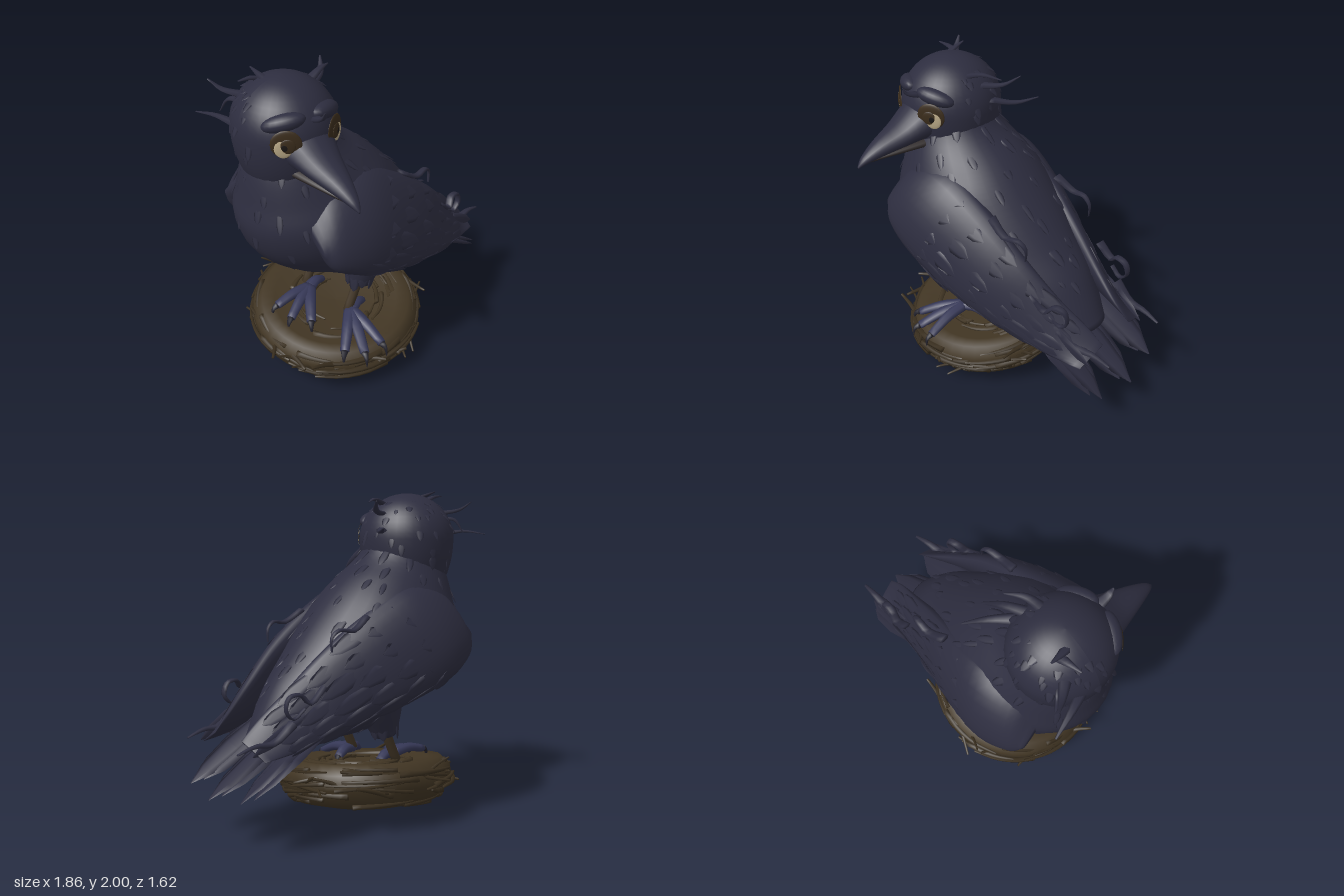
import * as THREE from 'three';
import { mergeGeometries } from 'three/addons/utils/BufferGeometryUtils.js';

const V = (x, y, z) => new THREE.Vector3(x, y, z);
const mat = (name, color) => {
  const m = new THREE.MeshStandardMaterial({ color });
  m.name = name;
  return m;
};

let seed = 7;
const rnd = (a = 0, b = 1) => {
  seed = (seed * 16807) % 2147483647;
  return a + (b - a) * (seed / 2147483647);
};

// Closed skin over elliptical rings [centre, axis u, axis v]
function skin(rings, n) {
  let dir = 0;
  for (let i = 1; i < rings.length; i++) {
    const [c, u, v] = rings[i - 1];
    dir += u.clone().cross(v).dot(rings[i][0].clone().sub(c));
  }
  const s = dir < 0 ? -1 : 1, pos = [], idx = [];
  rings.forEach(([c, u, v]) => {
    for (let j = 0; j < n; j++) {
      const a = (j / n) * Math.PI * 2;
      const p = c.clone().addScaledVector(u, Math.cos(a)).addScaledVector(v, s * Math.sin(a));
      pos.push(p.x, p.y, p.z);
    }
  });
  const last = rings.length - 1, cap = rings.length * n;
  pos.push(...rings[0][0].toArray(), ...rings[last][0].toArray());
  for (let j = 0; j < n; j++) {
    const k = (j + 1) % n;
    for (let i = 0; i < last; i++) {
      const a = i * n + j, b = i * n + k;
      idx.push(a, b, a + n, b, b + n, a + n);
    }
    idx.push(cap, k, j, cap + 1, last * n + j, last * n + k);
  }
  const g = new THREE.BufferGeometry();
  g.setAttribute('position', new THREE.Float32BufferAttribute(pos, 3));
  g.setIndex(idx);
  g.computeVertexNormals();
  return g;
}

// Smooth surface through a few stations, which can be sampled to lay feathers on it
function surface(stations) {
  const cur = [0, 1, 2].map(k => new THREE.CatmullRomCurve3(stations.map(e => e[k]), false, 'catmullrom'));
  const ring = t => cur.map(c => c.getPoint(Math.min(Math.max(t, 0), 1)));
  const at = (t, a) => {
    const [c, u, v] = ring(t);
    return c.addScaledVector(u, Math.cos(a)).addScaledVector(v, Math.sin(a));
  };
  const geometry = (steps, n) => skin(Array.from({ length: steps + 1 }, (_, i) => ring(i / steps)), n);
  return { ring, at, geometry };
}

// Flat pointed feather from p to q
function feather(p, q, side, normal, w, thick = 0.005) {
  const u = side.clone().normalize().multiplyScalar(w);
  const v = normal.clone().normalize().multiplyScalar(thick);
  return skin([[0, 0.4], [0.25, 0.85], [0.6, 1], [0.85, 0.7], [1, 0.05]].map(([t, f]) =>
    [p.clone().lerp(q, t), u.clone().multiplyScalar(f), v.clone().multiplyScalar(f)]), 6);
}

// Small feather lying on a surface, its root sunk in and its tip slightly lifted
function layFeather(s, t, a, dt, w, lift) {
  const p = s.at(t, a), n = p.clone().sub(s.ring(t)[0]).normalize();
  const q = s.at(t + dt, a).addScaledVector(n, lift);
  return feather(p.addScaledVector(n, -0.012), q, s.at(t, a + 0.1).sub(s.at(t, a - 0.1)), n, w);
}

// Tapered strand along a few points
function strand(pts, r, end = 0.1, flat = 1, steps = 8, n = 6) {
  const c = new THREE.CatmullRomCurve3(pts.map(p => V(...p)));
  const side = c.getPoint(1).sub(c.getPoint(0)).cross(V(0, 1, 0)).normalize();
  return skin(Array.from({ length: steps + 1 }, (_, i) => {
    const t = i / steps, k = r * (1 + (end - 1) * t);
    return [c.getPoint(t), side.clone().multiplyScalar(k),
      c.getTangent(t).cross(side).normalize().multiplyScalar(k * flat)];
  }), n);
}

export function createModel() {
  const plumage = mat('plumage', 0x2d2d3f), skinBlue = mat('footBlue', 0x363857);
  const legBrown = mat('legBrown', 0x403425), claw = mat('clawDark', 0x25242e), mouth = mat('lowerBeakBrown', 0x2d2727);
  const cream = mat('eyeCream', 0xb8a785), socket = mat('eyeBrown', 0x3a2c1b), black = mat('pupilBlack', 0x1a1614);
  const nestBrown = mat('nestBrown', 0x413523), twigBrown = mat('twigBrown', 0x3a2f1f);

  const root = new THREE.Group(), bird = new THREE.Group();
  root.name = 'birdOnNest';
  bird.name = 'bird';
  bird.rotation.y = 0.55;
  bird.position.set(-0.047, 0, -0.077);
  root.add(bird);
  const add = (parent, name, g, m) => {
    const mesh = new THREE.Mesh(Array.isArray(g) ? mergeGeometries(g) : g, m);
    mesh.name = name;
    parent.add(mesh);
    return mesh;
  };

  // Body: front point, back point, half width; the tail points along local +x
  const body = surface([
    [-0.64, 1.7, -0.28, 1.76, 0.19], [-0.735, 1.5, -0.17, 1.6, 0.275], [-0.78, 1.3, 0.0, 1.47, 0.36],
    [-0.8, 1.12, 0.13, 1.35, 0.43], [-0.71, 0.91, 0.28, 1.19, 0.44], [-0.46, 0.71, 0.42, 1.03, 0.39],
    [-0.12, 0.55, 0.55, 0.88, 0.32], [0.18, 0.52, 0.64, 0.73, 0.25], [0.46, 0.5, 0.72, 0.57, 0.17],
  ].map(([fx, fy, bx, by, w]) => [V((fx + bx) / 2, (fy + by) / 2, 0), V((fx - bx) / 2, (fy - by) / 2, 0), V(0, 0, w)]));
  add(bird, 'body', body.geometry(40, 32), plumage);

  // Sparse ragged feathers over neck, breast and back
  const ruff = [];
  for (let r = 0; r < 9; r++) {
    for (let j = 0; j < 11; j++) {
      const a = ((j + (r % 2) / 2) / 11) * Math.PI * 2 + rnd(-0.2, 0.2);
      ruff.push(layFeather(body, 0.07 + r * 0.085 + rnd(-0.03, 0.03), a, 0.09, rnd(0.018, 0.032), rnd(0, 0.02)));
    }
  }
  add(bird, 'bodyFeathers', ruff, plumage);

  // Tail and wing tips: three broad pointed lobes
  const tail = [];
  for (let k = -1; k <= 1; k++) {
    for (let j = -1; j <= 1; j++) {
      const w = Math.abs(k), e = Math.abs(j);
      tail.push(feather(V(0.26, 0.72 + 0.03 * w - 0.015 * e, k * 0.22 + j * 0.05),
        V(1.0 - 0.04 * w - 0.06 * e, 0.29 + 0.03 * w + 0.02 * e, k * 0.25 + j * 0.04 + 0.01),
        V(0, 0.25 * k, 1), V(0.55, 0.84, -0.2 * k), 0.09, 0.018));
    }
  }
  add(bird, 'tail', tail, plumage);

  for (const s of [1, -1]) {
    const side = s > 0 ? 'left' : 'right';
    // Folded wing: top point, bottom point, distance from the middle, half thickness, sideways sway
    const wing = surface([
      [-0.61, 1.27, -0.63, 1.11, 0.39, 0.04, 0], [-0.46, 1.4, -0.57, 0.98, 0.4, 0.12, 0], [-0.2, 1.42, -0.39, 0.87, 0.42, 0.15, 0],
      [0.08, 1.28, -0.14, 0.77, 0.41, 0.13, 0.02], [0.35, 1.08, 0.12, 0.69, 0.375, 0.1, 0.045], [0.58, 0.87, 0.4, 0.61, 0.325, 0.07, 0.045],
      [0.74, 0.73, 0.64, 0.55, 0.28, 0.045, 0.035], [0.86, 0.62, 0.83, 0.53, 0.26, 0.012, 0.02],
    ].map(([tx, ty, bx, by, z, th, sway]) => [V((tx + bx) / 2, (ty + by) / 2, s * (z - 0.04) + sway),
      V((tx - bx) / 2, (ty - by) / 2, -s * 0.09), V(0, 0, s * th)]));
    add(bird, side + 'Wing', wing.geometry(32, 24), plumage);

    const coverts = [];
    for (let r = 0; r < 6; r++) {
      for (let j = 0; j < 5; j++) {
        coverts.push(layFeather(wing, 0.22 + r * 0.1, 0.5 + j * 0.52 + (r % 2) * 0.25, 0.16, 0.06 - r * 0.004, rnd(0.002, 0.012)));
      }
    }
    add(bird, side + 'WingCoverts', coverts, plumage);

    // Long flight feathers along the lower edge
    const flight = [];
    for (let i = 0; i < 6; i++) {
      const f = i / 5;
      const p = V(-0.18 + f * 0.55, 0.88 - f * 0.1, s * (0.41 - f * 0.1) + 0.02);
      const q = V(0.25 + f * 0.62, 0.65 - f * 0.11 + (i % 2) * 0.015, s * (0.38 - f * 0.12) + 0.03);
      flight.push(feather(p, q, q.clone().sub(p).cross(V(0, 0, 1)), V(0, 0, 1), 0.06, 0.014));
    }
    add(bird, side + 'FlightFeathers', flight, plumage);

    // Loose curled feathers
    add(bird, side + 'WingCurls', [
      strand([[0.46, 0.9, s * 0.33], [0.56, 0.82, s * 0.33], [0.61, 0.87, s * 0.31], [0.68, 0.86, s * 0.3], [0.7, 0.79, s * 0.3], [0.65, 0.74, s * 0.3], [0.58, 0.79, s * 0.31]], 0.032, 0.5, 0.4, 18),
      strand([[0.12, 1.26, s * 0.3], [0.24, 1.19, s * 0.32], [0.33, 1.2, s * 0.31], [0.38, 1.16, s * 0.3], [0.38, 1.08, s * 0.3]], 0.034, 0.25, 0.45, 12),
      strand([[0.64, 0.71, s * 0.28], [0.76, 0.62, s * 0.27], [0.87, 0.62, s * 0.26], [0.98, 0.59, s * 0.25]], 0.045, 0.2, 0.5),
    ], plumage);

    // Feathered thigh and shank
    const hem = Array.from({ length: 9 }, (_, i) => {
      const a = (i / 9) * Math.PI * 2, d = V(Math.cos(a), 0, Math.sin(a));
      return feather(V(-0.1, 0.66, s * 0.2).addScaledVector(d, 0.1), V(-0.13, 0.49 + (i % 2) * 0.03, s * 0.2).addScaledVector(d, 0.08),
        V(-d.z, 0, d.x), d, 0.035);
    });
    add(bird, side + 'Thigh', [strand([[-0.06, 0.78, s * 0.2], [-0.1, 0.64, s * 0.2], [-0.13, 0.52, s * 0.2]], 0.17, 0.45, 1, 8, 14), ...hem], plumage);
    add(bird, side + 'Shank', strand([[-0.12, 0.58, s * 0.2], [-0.16, 0.48, s * 0.2], [-0.23, 0.34, s * 0.2]], 0.032, 0.9, 1, 6, 8), legBrown);
  }

  // Feet: ankle followed by toe ends
  const foot = (name, [ax, ay, az], ends) => {
    const toes = [], claws = [];
    ends.forEach(([x, y, z]) => {
      const dx = x - ax, dz = z - az;
      toes.push(strand([[ax, ay, az], [ax + dx * 0.5, (ay + y) / 2 + 0.02, az + dz * 0.5], [x, y, z]], 0.045, 0.65, 0.8, 8, 8));
      claws.push(strand([[x, y, z], [x + dx * 0.12, y - 0.015, z + dz * 0.12], [x + dx * 0.16, y - 0.075, z + dz * 0.16]], 0.024, 0.1, 1, 5));
    });
    add(root, name + 'Toes', toes, skinBlue);
    add(root, name + 'Claws', claws, claw);
  };
  foot('leftFoot', [-0.12, 0.34, 0.22], [[-0.22, 0.26, 0.5], [-0.1, 0.25, 0.53], [0.02, 0.26, 0.48], [-0.02, 0.31, 0.1]]);
  foot('rightFoot', [-0.34, 0.36, -0.04], [[-0.57, 0.35, 0.08], [-0.5, 0.32, 0.19], [-0.38, 0.31, 0.24], [-0.24, 0.34, -0.14]]);

  // Head, turned to the bird's left; its lower half is drawn out into the neck
  const head = new THREE.Group();
  head.name = 'head';
  head.position.set(-0.47, 1.7, 0.17);
  head.rotation.y = 0.41;
  root.add(head);
  const skullShape = new THREE.SphereGeometry(1, 36, 26).scale(0.295, 0.285, 0.305), sp = skullShape.attributes.position;
  for (let i = 0; i < sp.count; i++) if (sp.getY(i) < 0) sp.setY(i, sp.getY(i) * 1.6);
  skullShape.computeVertexNormals();
  add(head, 'skull', skullShape, plumage);
  const beakPart = rows => surface(rows.map(([z, top, low, w]) =>
    [V(0, (top + low) / 2, z), V(0, (top - low) / 2, 0), V(w, 0, 0)])).geometry(16, 16);
  add(head, 'upperBeak', beakPart([[0.12, 0.14, -0.18, 0.19], [0.27, 0.06, -0.165, 0.15], [0.4, -0.03, -0.175, 0.11],
    [0.55, -0.1, -0.195, 0.065], [0.65, -0.165, -0.215, 0.03], [0.69, -0.215, -0.23, 0.005]]), plumage);
  add(head, 'lowerBeak', beakPart([[0.12, -0.12, -0.22, 0.15], [0.3, -0.14, -0.21, 0.11], [0.45, -0.16, -0.21, 0.07], [0.62, -0.19, -0.215, 0.015]]), mouth);

  for (const s of [1, -1]) {
    // Eye of stacked thin discs facing outward, the iris set towards the beak
    const eye = new THREE.Group();
    eye.name = s > 0 ? 'leftEye' : 'rightEye';
    eye.position.set(s * 0.162, 0.012, 0.257);
    eye.rotation.y = s * 0.56;
    head.add(eye);
    const disc = (name, r, x, y, z, m, sx = 1) => {
      const g = new THREE.SphereGeometry(r, 20, 10, 0, Math.PI * 2, 0, Math.PI / 2).rotateX(Math.PI / 2).scale(sx, 1, 0.18);
      add(eye, name, g, m).position.set(x, y, z);
    };
    disc('eyeSocket', 0.08, -s * 0.012, 0.015, -0.002, socket, 1.05);
    disc('eyeball', 0.055, s * 0.004, -0.006, 0.006, cream, 0.88);
    disc('iris', 0.042, -s * 0.02, 0.008, 0.0115, socket);
    disc('pupil', 0.022, -s * 0.008, 0.004, 0.0155, black);
    const brow = add(head, 'brow', new THREE.SphereGeometry(1, 20, 12).scale(0.12, 0.05, 0.06), plumage);
    brow.position.set(s * 0.128, 0.122, 0.206);
    brow.rotation.set(-0.2, s * 0.55, -s * 0.1);
  }

  // Crown feathers and loose tufts
  const skull = surface([0.3, 0.75, 1.2, 1.65, 2.1].map(a => [V(0, Math.cos(a) * (a < 1.57 ? 0.285 : 0.45), 0),
    V(0, 0, -0.305 * Math.sin(a)), V(0.295 * Math.sin(a), 0, 0)]));
  const crown = [];
  for (let r = 0; r < 6; r++) {
    for (let j = -3; j <= 3; j++) {
      crown.push(layFeather(skull, 0.08 + r * 0.14 + rnd(-0.06, 0.06), j * 0.55 + rnd(-0.25, 0.25), 0.18, rnd(0.015, 0.028), rnd(0.005, 0.02)));
    }
  }
  add(head, 'crownFeathers', crown, plumage);
  add(root, 'headTufts', [
    [[-0.7, 1.72, 0.22], [-0.82, 1.75, 0.11], [-0.93, 1.73, -0.01]],
    [[-0.66, 1.82, 0.12], [-0.75, 1.82, 0.06], [-0.8, 1.74, 0.03]],
    [[-0.66, 1.86, 0.12], [-0.78, 1.88, 0.06], [-0.85, 1.93, 0.02]],
    [[-0.55, 1.92, 0.08], [-0.63, 1.96, 0.13], [-0.7, 1.97, 0.18]],
    [[-0.52, 1.94, 0.2], [-0.58, 1.97, 0.12], [-0.62, 1.99, 0.05]],
    [[-0.33, 1.9, 0.12], [-0.24, 1.94, 0.04], [-0.18, 1.92, -0.06]],
    [[-0.3, 1.85, 0.05], [-0.22, 1.87, -0.08], [-0.2, 1.92, -0.18]],
    [[-0.28, 1.76, 0.0], [-0.23, 1.74, -0.16], [-0.22, 1.76, -0.3]],
    [[-0.34, 1.82, 0.4], [-0.31, 1.85, 0.47], [-0.3, 1.89, 0.49]],
  ].map(p => strand(p, 0.038, 0.15, 0.45)), plumage);

  // Nest: tilted bowl wrapped in twigs
  const nest = new THREE.Group();
  nest.name = 'nest';
  nest.position.set(-0.18, 0.19, 0.01);
  nest.rotation.x = 0.16;
  root.add(nest);
  const profile = [[0, -0.165], [0.28, -0.155], [0.45, -0.115], [0.54, -0.01], [0.54, 0.08], [0.48, 0.14], [0.4, 0.13], [0.25, 0.1], [0, 0.09]];
  add(nest, 'bowl', new THREE.LatheGeometry(profile.map(p => new THREE.Vector2(...p)), 40), nestBrown);
  const arcTwig = (r, y, a, span, out, rise) => strand([0, 0.33, 0.66, 1].map(t => {
    const R = r + out * t * t, b = a + span * t;
    return [R * Math.cos(b), y + rise * t, R * Math.sin(b)];
  }), rnd(0.014, 0.024), 0.4, 1, 7, 5);
  const woven = [], lining = [], stray = [];
  for (let i = 0; i < 90; i++) {
    const y = rnd(-0.12, 0.12), d = rnd() < 0.5 ? -1 : 1;
    const r = y < 0 ? 0.545 + y * 0.8 : 0.55 - 3 * y * y;
    woven.push(arcTwig(r + rnd(-0.012, 0.01), y, rnd(0, 6.28), d * rnd(0.4, 0.9), 0.01, y < 0 ? rnd(0, 0.05) : rnd(-0.05, 0.02)));
    if (i < 40) lining.push(arcTwig(rnd(0.15, 0.46), 0.115, rnd(0, 6.28), d * rnd(0.5, 1.1), 0, rnd(-0.01, 0.02)));
    if (i < 26) stray.push(arcTwig(0.51, rnd(-0.05, 0.1), i * 0.242, d * rnd(0.2, 0.4), rnd(0.04, 0.12), rnd(-0.06, 0.12)));
  }
  add(nest, 'wovenTwigs', woven, twigBrown);
  add(nest, 'liningTwigs', lining, nestBrown);
  add(nest, 'strayTwigs', stray, twigBrown);
  return root;
}
